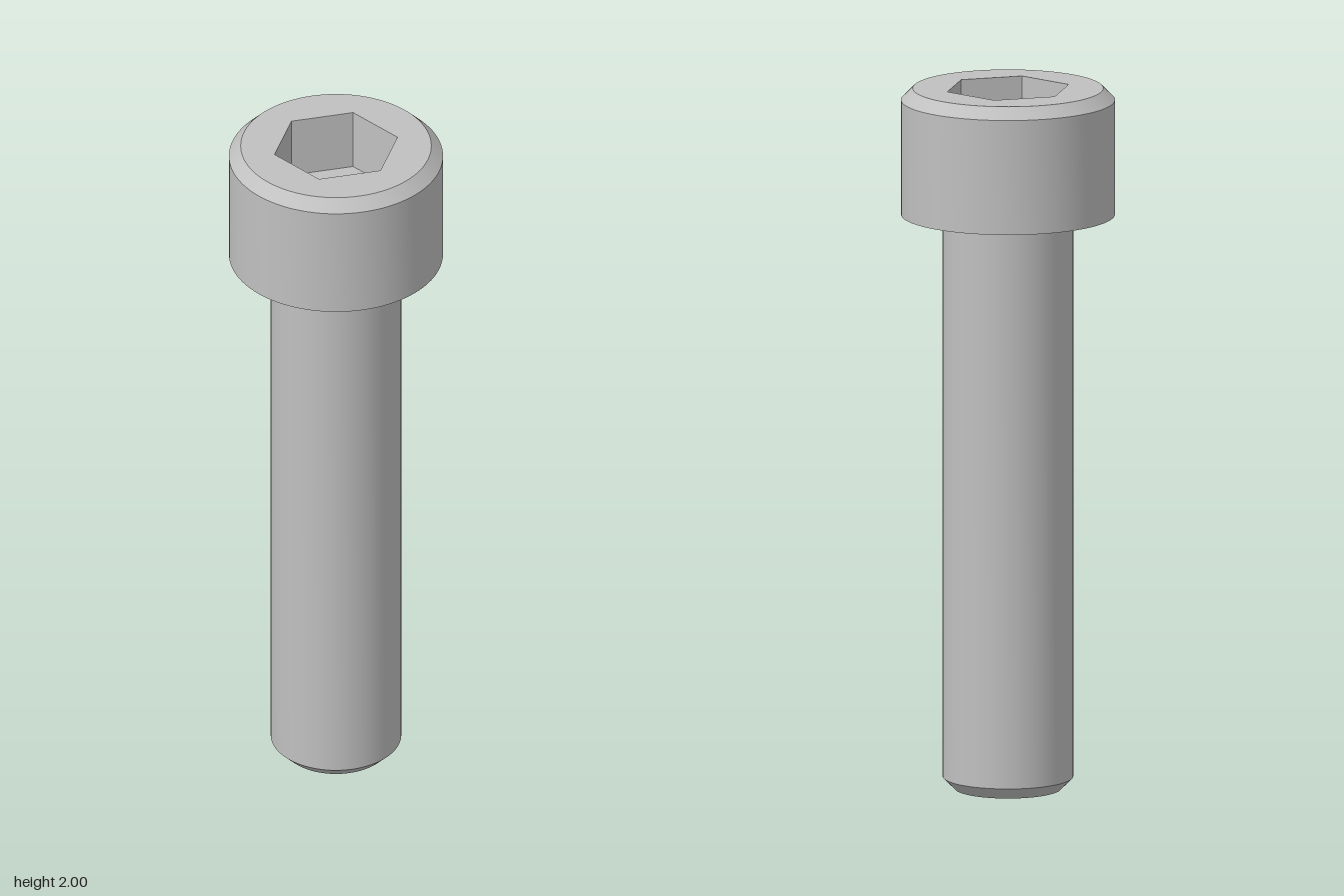
import * as THREE from 'three';
import { toCreasedNormals } from 'three/addons/utils/BufferGeometryUtils.js';

const SEGMENTS = 96;
const TOP = 2, HEAD_BASE = 1.64;
const HEAD_R = 0.3, RIM_R = 0.267, SHANK_R = 0.183, TIP_R = 0.149;
const SOCKET_R = 0.178, SOCKET_DEPTH = 0.18;

// Revolve [radius, height] pairs, keeping sharp edges sharp
function revolve(profile, segments, phiStart = 0) {
  const points = profile.map(([r, y]) => new THREE.Vector2(r, y));
  return toCreasedNormals(new THREE.LatheGeometry(points, segments, phiStart), 0.5);
}

export function createModel() {
  const group = new THREE.Group();
  group.name = 'socketHeadBolt';
  const steel = new THREE.MeshStandardMaterial({ color: 0xc0c0c0 });
  steel.name = 'steel';

  const add = (name, geometry) => {
    const mesh = new THREE.Mesh(geometry, steel);
    mesh.name = name;
    group.add(mesh);
  };

  // Shank with a chamfered tip
  add('shank', revolve([[0, 0], [TIP_R, 0], [SHANK_R, 0.034], [SHANK_R, HEAD_BASE]], SEGMENTS));

  // Head: underside, side wall and top chamfer
  add('head', revolve([
    [SHANK_R, HEAD_BASE], [HEAD_R, HEAD_BASE], [HEAD_R, TOP - 0.033], [RIM_R, TOP],
  ], SEGMENTS));

  // Flat top face with a hexagonal opening
  const face = new THREE.Shape().absarc(0, 0, RIM_R, 0, Math.PI * 2, false);
  const corners = Array.from({ length: 6 }, (_, i) => {
    const a = -i * Math.PI / 3;
    return new THREE.Vector2(SOCKET_R * Math.cos(a), SOCKET_R * Math.sin(a));
  });
  face.holes.push(new THREE.Path(corners));
  add('headTop', new THREE.ShapeGeometry(face, SEGMENTS).rotateX(-Math.PI / 2).translate(0, TOP, 0));

  // Hex socket: walls running down, then the floor
  add('hexSocket', revolve([
    [SOCKET_R, TOP], [SOCKET_R, TOP - SOCKET_DEPTH], [0, TOP - SOCKET_DEPTH],
  ], 6, Math.PI / 2));

  return group;
}
